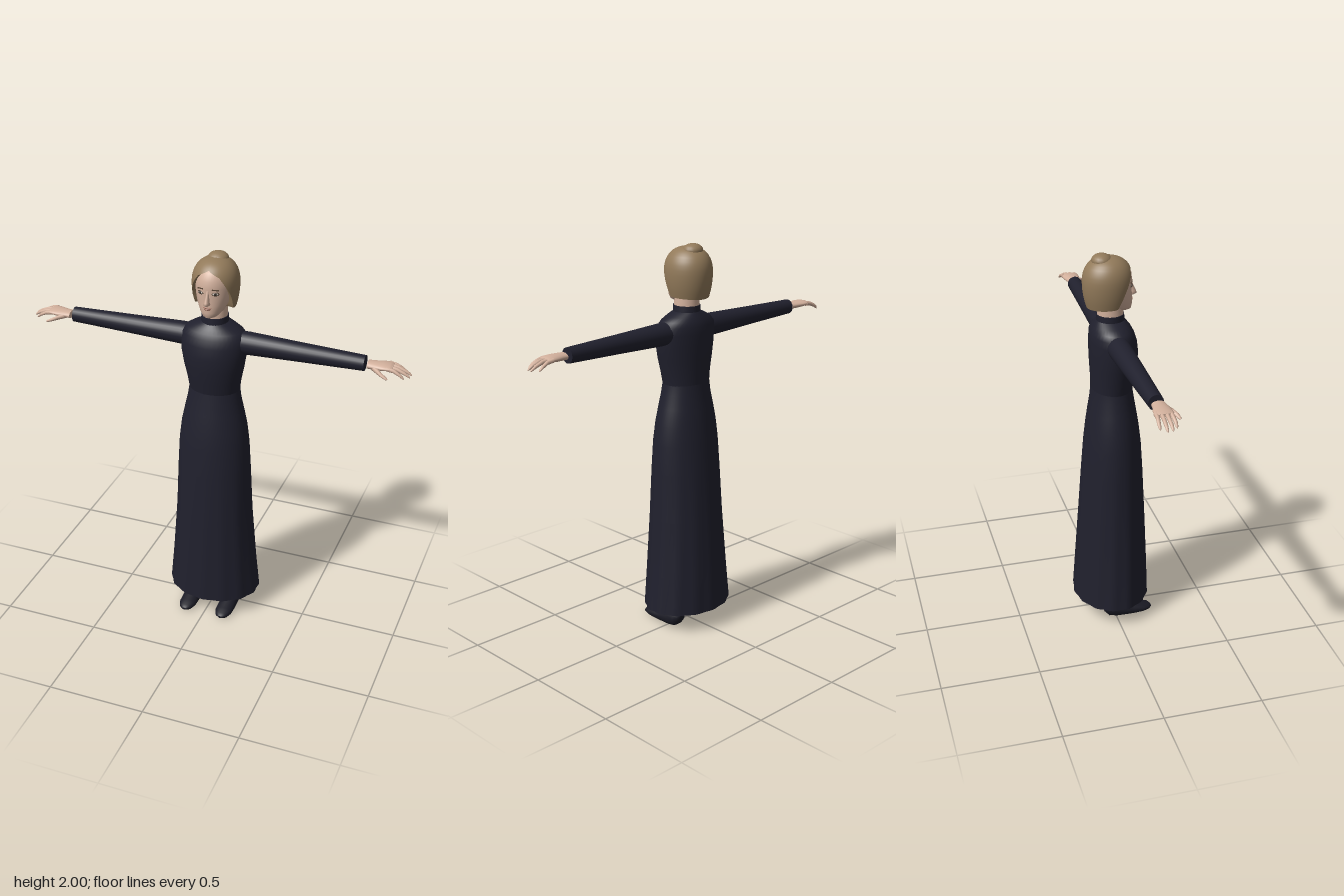
import * as THREE from 'three';

const mat = (name, color) => {
  const m = new THREE.MeshStandardMaterial({ color });
  m.name = name;
  return m;
};

// Closed rings joined into a skin; point(i, j) gives corner i of ring j.
function skin(point, n, rows, caps = true) {
  const pos = [], idx = [];
  for (let j = 0; j < rows; j++)
    for (let i = 0; i < n; i++) pos.push(...point(i, j));
  for (let j = 0; j < rows - 1; j++)
    for (let i = 0; i < n; i++) {
      const k = (i + 1) % n, a = j * n, b = a + n;
      idx.push(a + i, a + k, b + k, a + i, b + k, b + i);
    }
  if (caps)
    for (const j of [0, rows - 1]) {
      const base = pos.length / 3;
      const mid = [0, 0, 0];
      for (let i = 0; i < n; i++) {
        const p = point(i, j);
        p.forEach((c, d) => (mid[d] += c / n));
        pos.push(...p);
      }
      pos.push(...mid);
      for (let i = 0; i < n; i++) {
        const k = (i + 1) % n;
        if (j === 0) idx.push(base + n, base + k, base + i);
        else idx.push(base + n, base + i, base + k);
      }
    }
  const g = new THREE.BufferGeometry();
  g.setAttribute('position', new THREE.Float32BufferAttribute(pos, 3));
  g.setIndex(idx);
  g.computeVertexNormals();
  return g;
}

// Ellipse sections [x, y, z, ru, rv]; u x direction-of-travel = v.
function loft(secs, n, u = [1, 0, 0], v = [0, 0, 1], ripple = () => 1, floor = -1) {
  return skin((i, j) => {
    const a = (i / n) * Math.PI * 2, s = secs[j], f = ripple(a, s[1]);
    const p = [0, 1, 2].map(d => s[d] + f * (u[d] * Math.sin(a) * s[3] + v[d] * Math.cos(a) * s[4]));
    p[1] = Math.max(p[1], floor);
    return p;
  }, n, secs.length);
}

// Upright loft from rows [y, halfWidth, frontZ, backZ].
const upright = (rows, n, ripple) =>
  loft(rows.map(([y, w, f, b]) => [0, y, (f + b) / 2, w, (f - b) / 2]), n, undefined, undefined, ripple);

// Height of the hair edge at an angle (degrees) from the front.
const hairEdge = [[0, 1.95], [30, 1.922], [48, 1.87], [61, 1.82], [76, 1.745], [180, 1.735]];
function edgeHeight(deg) {
  const k = Math.max(1, hairEdge.findIndex(e => e[0] >= deg));
  const [a, b] = [hairEdge[k - 1], hairEdge[k]];
  return a[1] + ((b[1] - a[1]) * (deg - a[0])) / (b[0] - a[0]);
}

function hairGeometry() {
  const n = 72, rows = 16, top = 1.985;
  return skin((i, j) => {
    const a = (i / n) * Math.PI * 2;
    const deg = Math.min(180, (Math.min(a, Math.PI * 2 - a) * 180) / Math.PI);
    const low = edgeHeight(deg), t = Math.max(0, j - 2) / (rows - 3);
    const y = low + (top - low) * Math.sin((t * Math.PI) / 2);
    let r = y > 1.86
      ? Math.pow(Math.max(0, 1 - Math.pow((y - 1.86) / 0.125, 2.3)), 1 / 2.3)
      : 1 - 0.15 * Math.pow((1.86 - y) / 0.12, 2);
    if (j === 0) r *= 0.55; // inward lip
    return [0.115 * r * Math.sin(a), y, -0.01 + 0.125 * r * Math.cos(a)];
  }, n, rows, false);
}

export function createModel() {
  const cloth = mat('dark cloth', 0x20202d), leather = mat('shoe leather', 0x1b1b25);
  const skinTone = mat('skin', 0xd2b09c), hair = mat('hair', 0x927a5a);
  const brow = mat('brow', 0x5c4a3a), white = mat('eye white', 0xd6cec6);
  const iris = mat('iris', 0x3a322c), lip = mat('lips', 0xa0705f);
  const model = new THREE.Group();
  model.name = 'woman';
  const add = (name, geo, m, parent = model) => {
    const mesh = new THREE.Mesh(geo, m);
    mesh.name = name;
    parent.add(mesh);
    return mesh;
  };

  // Dress
  add('skirt', upright([
    [0.105, 0.24, 0.195, -0.195], [0.3, 0.222, 0.19, -0.183], [0.6, 0.2, 0.178, -0.163],
    [0.85, 0.19, 0.165, -0.145], [1.0, 0.182, 0.155, -0.133], [1.1, 0.17, 0.143, -0.122],
    [1.18, 0.153, 0.13, -0.111], [1.25, 0.137, 0.118, -0.1], [1.305, 0.129, 0.11, -0.095],
  ], 56, (a, y) => 1 + 0.018 * Math.max(0, 1 - y) * Math.cos(14 * a)), cloth);
  add('bodice', upright([
    [1.3, 0.129, 0.11, -0.095], [1.36, 0.137, 0.12, -0.096], [1.43, 0.152, 0.131, -0.1],
    [1.5, 0.164, 0.136, -0.102], [1.56, 0.168, 0.129, -0.102], [1.6, 0.166, 0.116, -0.099],
    [1.625, 0.145, 0.103, -0.09], [1.645, 0.11, 0.088, -0.08], [1.665, 0.066, 0.07, -0.068],
  ], 40), cloth);
  add('collar', upright([[1.65, 0.068, 0.073, -0.068], [1.695, 0.066, 0.07, -0.066]], 32), cloth);

  // Head and neck
  add('neck', upright([[1.66, 0.063, 0.067, -0.063], [1.704, 0.062, 0.067, -0.063], [1.77, 0.056, 0.055, -0.06]], 32), skinTone);
  add('head', upright([
    [1.71, 0.018, 0.095, 0.045], [1.718, 0.036, 0.105, 0.02], [1.74, 0.058, 0.109, -0.035],
    [1.78, 0.077, 0.109, -0.068], [1.82, 0.088, 0.106, -0.085], [1.86, 0.092, 0.108, -0.098],
    [1.9, 0.089, 0.105, -0.1], [1.935, 0.07, 0.085, -0.08], [1.96, 0.03, 0.04, -0.04],
  ], 40), skinTone);
  add('nose', upright([
    [1.781, 0.008, 0.12, 0.09], [1.788, 0.016, 0.135, 0.085], [1.8, 0.012, 0.131, 0.09],
    [1.83, 0.008, 0.117, 0.09], [1.857, 0.008, 0.108, 0.09],
  ], 12), skinTone);
  const ball = new THREE.SphereGeometry(1, 20, 12);
  for (const [y, w] of [[1.768, 0.021], [1.76, 0.017]]) {
    const m = add('lip', ball, lip);
    m.position.set(0, y, 0.107);
    m.scale.set(w, 0.0045, 0.0049);
  }
  for (const s of [1, -1]) {
    const eye = new THREE.Group();
    eye.name = s > 0 ? 'leftEye' : 'rightEye';
    eye.position.set(s * 0.037, 1.841, 0.0965);
    eye.rotation.y = s * 0.38;
    model.add(eye);
    add('eyeRim', ball, brow, eye).scale.set(0.019, 0.0105, 0.0035);
    const w = add('eyeWhite', ball, white, eye);
    w.scale.set(0.016, 0.0075, 0.0048);
    const p = add('iris', ball, iris, eye);
    p.position.z = 0.003;
    p.scale.set(0.007, 0.007, 0.0035);
    const b = add('eyebrow', new THREE.BoxGeometry(0.034, 0.005, 0.006), brow, eye);
    b.position.set(0, 0.021, 0.002);
    b.rotation.z = -s * 0.12;
  }

  // Hair
  add('hair', hairGeometry(), hair);
  const bun = add('bun', ball, hair);
  bun.position.set(0, 1.968, -0.04);
  bun.scale.set(0.052, 0.033, 0.05);

  for (const s of [1, -1]) {
    const side = s > 0 ? 'left' : 'right';
    const along = (secs, n) => loft(secs.map(([x, ...r]) => [s * x, ...r]), n, [0, 0, s], [0, 1, 0]);

    // Sleeve
    add(side + 'Sleeve', along([
      [0.1, 1.568, 0.006, 0.054, 0.054], [0.17, 1.568, 0.006, 0.056, 0.057],
      [0.45, 1.568, 0.007, 0.047, 0.047], [0.755, 1.568, 0.007, 0.037, 0.038],
    ], 24), cloth);

    // Hand
    const hand = new THREE.Group();
    hand.name = side + 'Hand';
    model.add(hand);
    add('palm', along([
      [0.77, 1.568, 0.012, 0.033, 0.018], [0.8, 1.569, 0.012, 0.036, 0.018],
      [0.84, 1.571, 0.009, 0.044, 0.017], [0.875, 1.573, 0.007, 0.045, 0.013],
      [0.888, 1.571, 0.007, 0.04, 0.008],
    ], 20), skinTone, hand);
    [[-0.029, 0.948], [-0.006, 0.977], [0.017, 0.973], [0.039, 0.95]].forEach(([z, tip], i) => {
      const len = tip - 0.865, end = z * 1.1;
      add('finger' + (i + 1), along([
        [0.865, 1.572, z, 0.0105, 0.011], [0.865 + len * 0.4, 1.567, z, 0.0095, 0.01],
        [0.865 + len * 0.75, 1.553, end, 0.0085, 0.0085], [0.865 + len * 0.94, 1.541, end, 0.006, 0.006],
        [tip, 1.536, end, 0.002, 0.002],
      ], 10), skinTone, hand);
    });
    add('thumb', along([
      [0.79, 1.565, 0.03, 0.012, 0.013], [0.825, 1.558, 0.053, 0.015, 0.012],
      [0.85, 1.55, 0.07, 0.012, 0.009], [0.872, 1.542, 0.078, 0.008, 0.007], [0.882, 1.54, 0.08, 0.002, 0.002],
    ], 10), skinTone, hand);

    // Shoe, heel to toe
    add(side + 'Shoe', loft([
      [-0.066, 0.058, 0.008, 0.01], [-0.058, 0.05, 0.03, 0.03], [-0.035, 0.04, 0.04, 0.048],
      [0.0, 0.032, 0.043, 0.053], [0.05, 0.026, 0.044, 0.043], [0.1, 0.021, 0.046, 0.033],
      [0.15, 0.018, 0.045, 0.023], [0.185, 0.016, 0.032, 0.016], [0.2, 0.014, 0.012, 0.006],
    ].map(([z, y, ru, rv]) => [s * 0.103, y, z, ru, rv]), 20, [-1, 0, 0], [0, 1, 0], undefined, 0), leather);
  }
  return model;
}
